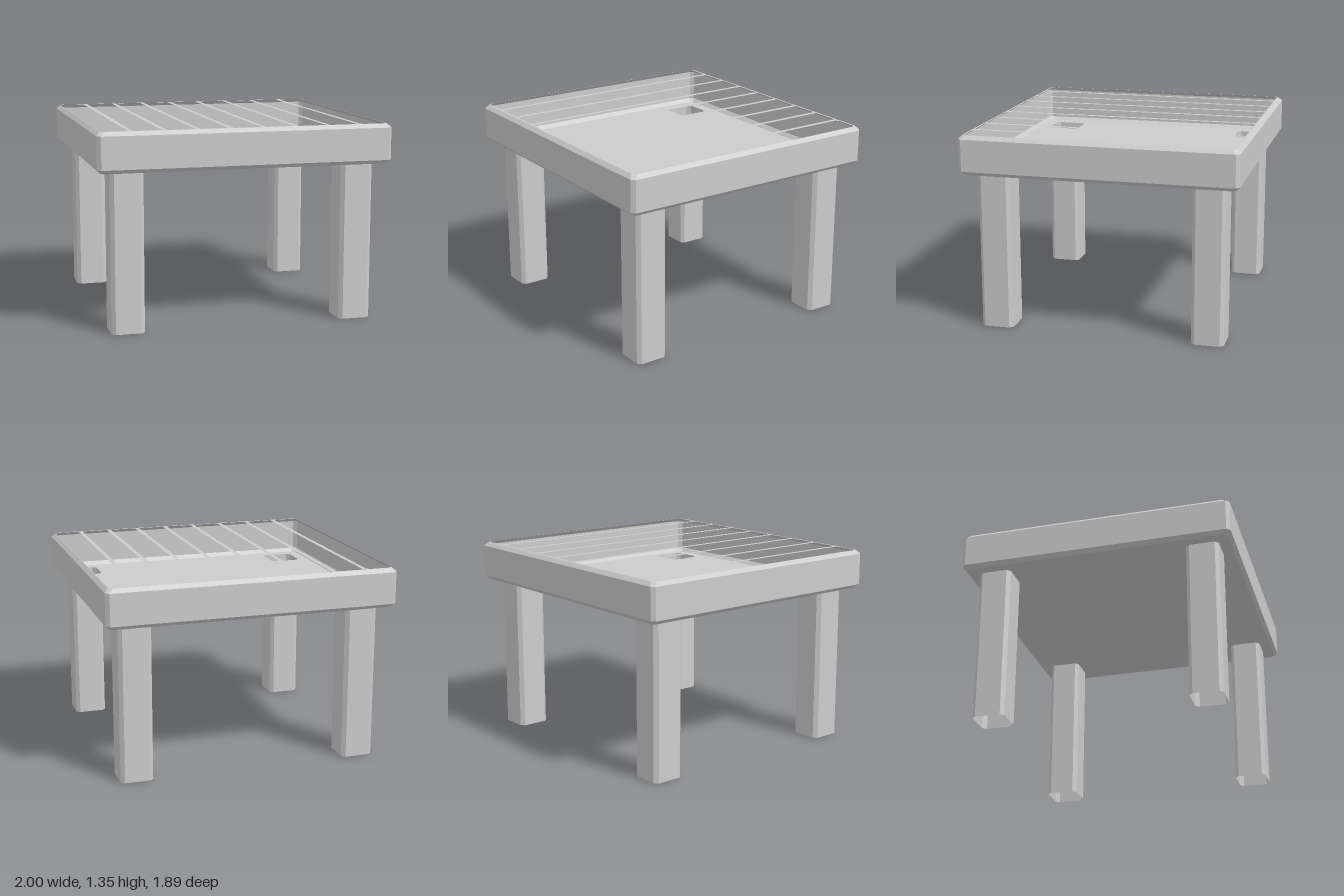
import * as THREE from 'three';

const grey = new THREE.MeshStandardMaterial({ color: 0xcccccc, side: THREE.DoubleSide });
grey.name = 'grey';

// Corners of a rectangle with cut corners, counter-clockwise
function cutRect(cx, cy, hx, hy, c) {
  return [
    [hx, -hy + c], [hx, hy - c], [hx - c, hy], [-hx + c, hy],
    [-hx, hy - c], [-hx, -hy + c], [-hx + c, -hy], [hx - c, -hy],
  ].map(([x, y]) => new THREE.Vector2(cx + x, cy + y));
}

// Open flat-faced skin through stacked cut rectangles: levels = [y, hx, hz, cut]
function skin(levels) {
  const rings = levels.map(([y, hx, hz, c]) =>
    cutRect(0, 0, hx, hz, c).map((p) => [p.x, y, -p.y]));
  const pos = [];
  for (let i = 0; i < rings.length - 1; i++) {
    for (let j = 0; j < 8; j++) {
      const k = (j + 1) % 8;
      const a = rings[i][j], b = rings[i][k], c = rings[i + 1][k], d = rings[i + 1][j];
      pos.push(...a, ...b, ...c, ...a, ...c, ...d);
    }
  }
  const g = new THREE.BufferGeometry();
  g.setAttribute('position', new THREE.Float32BufferAttribute(pos, 3));
  g.computeVertexNormals();
  return g;
}

// Flat horizontal sheet with cut-corner holes
function sheet(outline, holes, y) {
  const shape = new THREE.Shape(outline);
  holes.forEach((h) => shape.holes.push(new THREE.Path(h.slice().reverse())));
  return new THREE.ShapeGeometry(shape).rotateX(-Math.PI / 2).translate(0, y, 0);
}

export function createModel() {
  const group = new THREE.Group();
  const add = (name, geometry, x = 0, z = 0) => {
    const mesh = new THREE.Mesh(geometry, grey);
    mesh.name = name;
    mesh.position.set(x, 0, z);
    group.add(mesh);
  };

  const bottom = 1.083, top = 1.353, bevel = 0.026;
  const hx = 1, hz = 0.945;
  const legX = 0.791, legZ = 0.734, legHalf = 0.112;
  const corners = [[1, 1], [1, -1], [-1, 1], [-1, -1]];

  // Bevelled apron around the table top
  add('apron', skin([
    [bottom, hx - bevel, hz - bevel, 0.025],
    [bottom + bevel, hx, hz, 0.025],
    [top - bevel, hx, hz, 0.025],
    [top, hx - bevel, hz - bevel, 0.025],
  ]));

  // Underside, open where the hollow legs join
  const inner = cutRect(0, 0, hx - bevel, hz - bevel, 0.025);
  add('underside', sheet(inner,
    corners.map(([sx, sz]) => cutRect(sx * legX, sz * legZ, legHalf, legHalf, 0.025)), bottom));

  // Top rim and thin strips between nine long openings
  const edges = [-0.971];
  for (let i = 0; i < 8; i++) {
    const x = (i - 3.5) * 0.222;
    edges.push(x - 0.015, x + 0.015);
  }
  edges.push(0.971);
  const openings = [];
  for (let i = 0; i < edges.length; i += 2) {
    const end = i === 0 || i === edges.length - 2;
    openings.push(cutRect((edges[i] + edges[i + 1]) / 2, 0,
      (edges[i + 1] - edges[i]) / 2, 0.906, end ? 0.02 : 0.006));
  }
  add('topStrips', sheet(inner, openings, top));

  // Four hollow legs, open at both ends
  const legGeometry = skin([[0, legHalf, legHalf, 0.025], [bottom, legHalf, legHalf, 0.025]]);
  corners.forEach(([sx, sz]) => add(
    (sz > 0 ? 'front' : 'back') + (sx > 0 ? 'Left' : 'Right') + 'Leg',
    legGeometry, sx * legX, sz * legZ));

  return group;
}
